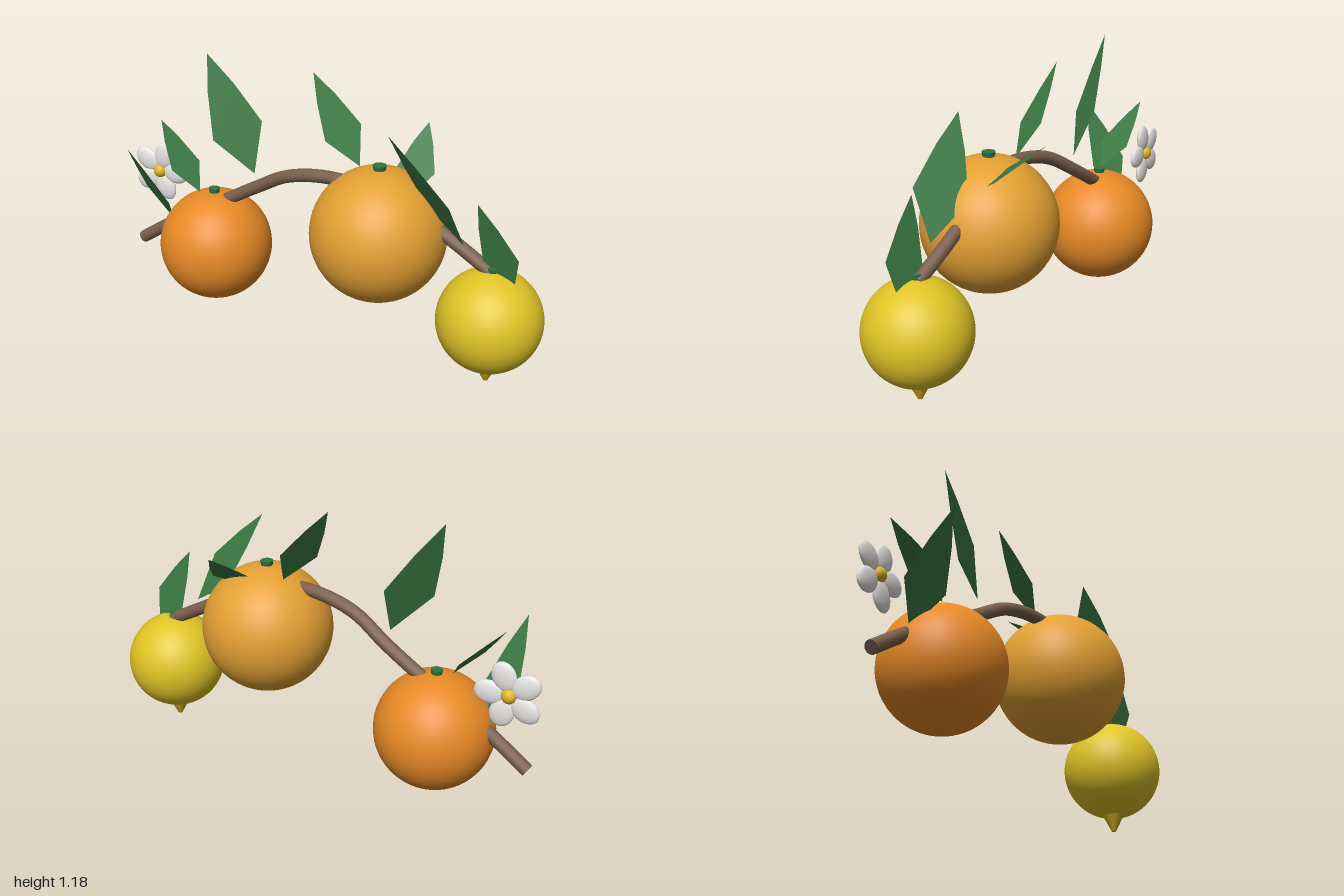
import * as THREE from 'three';

const mat = (name, color, extra = {}) => {
  const m = new THREE.MeshStandardMaterial({ color, ...extra });
  m.name = name;
  return m;
};

export function createModel() {
  const mats = {
    bark: mat('bark', 0x7a604e),
    orange: mat('orange peel', 0xe88a26),
    amber: mat('amber peel', 0xe3a033),
    lemon: mat('lemon peel', 0xe0c426),
    tip: mat('lemon tip', 0xd2ae22),
    leaf: mat('leaf green', 0x3c7a44, { side: THREE.DoubleSide }),
    cap: mat('stem green', 0x2f7544),
    petal: mat('petal white', 0xf2f0ee),
    pollen: mat('pollen yellow', 0xe0b422),
  };
  const root = new THREE.Group();
  root.name = 'citrusBranch';
  const V = (a) => new THREE.Vector3(...a);
  const add = (name, geo, material, pos = [0, 0, 0], parent = root) => {
    const m = new THREE.Mesh(geo, material);
    m.name = name;
    m.position.set(...pos);
    parent.add(m);
    return m;
  };

  // Arching branch with closed ends
  const path = new THREE.CatmullRomCurve3([
    [-0.95, 0.23, 0], [-0.75, 0.365, 0], [-0.47, 0.53, -0.015], [-0.31, 0.625, -0.01],
    [-0.15, 0.715, 0.015], [0.03, 0.758, 0.027], [0.2, 0.755, 0.03], [0.38, 0.70, 0.0],
    [0.56, 0.605, -0.022], [0.78, 0.485, -0.018],
  ].map(V));
  const R = 0.028;
  add('branch', new THREE.TubeGeometry(path, 64, R, 12), mats.bark);
  for (const t of [0, 1]) {
    const p = path.getPoint(t);
    const end = add('branchEnd', new THREE.CircleGeometry(R, 12), mats.bark, p.toArray());
    end.lookAt(p.clone().addScaledVector(path.getTangent(t), t ? 1 : -1));
  }

  // Fruits, each with a small stem cap
  const fruits = [
    ['orangeFruit', [-0.54, 0.30, -0.003], 0.25, mats.orange],
    ['amberFruit', [0.283, 0.556, 0.014], 0.283, mats.amber],
    ['lemonFruit', [0.778, 0.283, -0.011], 0.217, mats.lemon],
  ];
  for (const [name, [x, y, z], r, material] of fruits) {
    add(name, new THREE.SphereGeometry(r, 48, 32), material, [x, y, z]);
    const c = r * 0.1;
    add(name + 'Cap', new THREE.CylinderGeometry(c, c * 0.8, 0.03, 12), mats.cap, [x, y + r + 0.004, z]);
  }
  add('lemonTip', new THREE.CylinderGeometry(0.05, 0.01, 0.08, 16), mats.tip, [0.778, 0.04, -0.011]);

  // Six-sided pointed leaves: base, tip, and half-width vector at the widest row
  const leaves = [
    [[-0.595, 0.55, 0.03], [-0.84, 0.82, -0.04], [-0.02, 0, 0.076]],
    [[-0.76, 0.37, 0.01], [-0.815, 0.78, 0.235], [0.083, -0.01, 0.032]],
    [[-0.323, 0.685, 0.0], [-0.553, 1.18, -0.01], [0.067, 0.027, -0.087]],
    [[0.168, 0.81, -0.035], [-0.072, 1.16, -0.072], [0.04, 0.02, -0.077]],
    [[0.40, 0.73, -0.01], [0.347, 0.95, -0.302], [0.075, -0.008, -0.02]],
    [[0.66, 0.594, 0.012], [0.36, 1.025, 0.1], [0.08, 0.038, 0.07]],
    [[0.87, 0.43, -0.01], [0.72, 0.80, 0.045], [0.08, 0.03, 0.02]],
  ];
  for (const [b, t, s] of leaves) {
    const base = V(b), tip = V(t), side = V(s);
    const at = (u, w) => base.clone().lerp(tip, u).addScaledVector(side, w);
    const pts = [base, at(0.36, 1), at(0.72, 0.52), tip, at(0.72, -0.52), at(0.36, -1)];
    const geo = new THREE.BufferGeometry().setFromPoints(pts);
    geo.setIndex([0, 1, 5, 1, 2, 5, 2, 4, 5, 2, 3, 4]);
    geo.computeVertexNormals();
    add('leaf', geo, mats.leaf);
  }

  // Blossom: five flattened petals around a round centre
  const flower = new THREE.Group();
  flower.name = 'blossom';
  flower.position.set(-0.872, 0.563, -0.053);
  flower.rotation.y = 0.08;
  root.add(flower);
  for (let i = 0; i < 5; i++) {
    const a = (i * Math.PI * 2) / 5;
    const p = add('petal', new THREE.SphereGeometry(1, 16, 12), mats.petal,
      [Math.cos(a) * 0.08, Math.sin(a) * 0.08, 0], flower);
    p.scale.set(0.064, 0.05, 0.018);
    p.rotation.z = a;
  }
  add('blossomCentre', new THREE.SphereGeometry(0.032, 16, 12), mats.pollen, [0, 0, 0], flower);

  return root;
}
